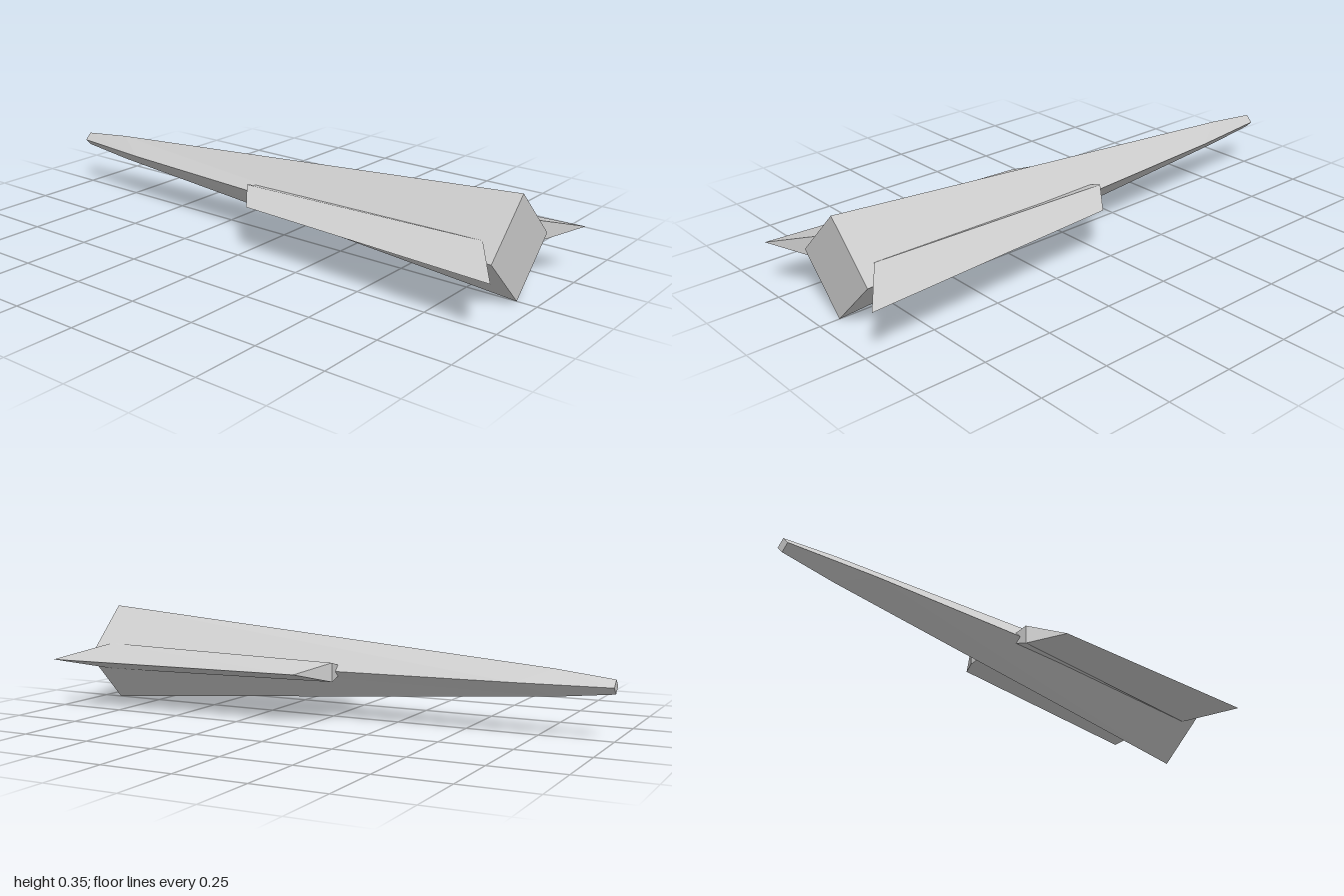
import * as THREE from 'three';

const MID = 0.177; // height of the horizontal centre plane

// Flat-shaded loft through four-cornered rings, ordered back to front.
// Each ring is [+x corner, top, -x corner, bottom].
function loft(rings) {
  const pos = [];
  const tri = (...pts) => pts.forEach(([x, y, z]) => pos.push(x, y + MID, z));
  for (let i = 0; i < rings.length - 1; i++) {
    for (let j = 0; j < 4; j++) {
      const k = (j + 1) % 4;
      const a = rings[i][j], b = rings[i][k], c = rings[i + 1][k], d = rings[i + 1][j];
      tri(a, b, c);
      tri(a, c, d);
    }
  }
  // End caps, split along the top-to-bottom line
  const back = rings[0], front = rings[rings.length - 1];
  tri(back[1], back[3], back[2]);
  tri(back[1], back[0], back[3]);
  tri(front[1], front[2], front[3]);
  tri(front[1], front[3], front[0]);
  const g = new THREE.BufferGeometry();
  g.setAttribute('position', new THREE.Float32BufferAttribute(pos, 3));
  g.computeVertexNormals();
  return g;
}

export function createModel() {
  const model = new THREE.Group();
  model.name = 'dartCraft';
  const hull = new THREE.MeshStandardMaterial({ color: 0xcccccc });
  hull.name = 'hull grey';

  const add = (name, rings) => {
    const mesh = new THREE.Mesh(loft(rings), hull);
    mesh.name = name;
    model.add(mesh);
  };

  // Fuselage: tapering diamond whose nose bevels inward; [half width, z, half height, z]
  const sections = [
    [0.024, -1, 0.024, -1],
    [0.06, -0.68, 0.046, -0.8],
    [0.177, 0.93, 0.177, 0.93],
  ];
  add('fuselage', sections.map(([w, zw, h, zh]) => [
    [w, 0, zw], [0, h, zh], [-w, 0, zw], [0, -h, zh],
  ]));

  // Wings: diamond sections with a spar ridge, the inner corner buried in the fuselage
  const wing = [
    { tip: [0.24, 0.03], ridge: [0.13, 0.033, -0.06], root: [0.015, -0.06] },
    { tip: [0.305, 1.0], ridge: [0.128, 0.048, 0.87], root: [0.0, 0.87] },
  ];
  for (const s of [1, -1]) {
    add(s > 0 ? 'leftWing' : 'rightWing', wing.map(({ tip, ridge, root }) => {
      const outer = [s * tip[0], 0, tip[1]];
      const inner = [s * root[0], 0, root[1]];
      const top = [s * ridge[0], ridge[1], ridge[2]];
      const bottom = [s * ridge[0], -ridge[1], ridge[2]];
      return s > 0 ? [outer, top, inner, bottom] : [inner, top, outer, bottom];
    }));
  }
  return model;
}
